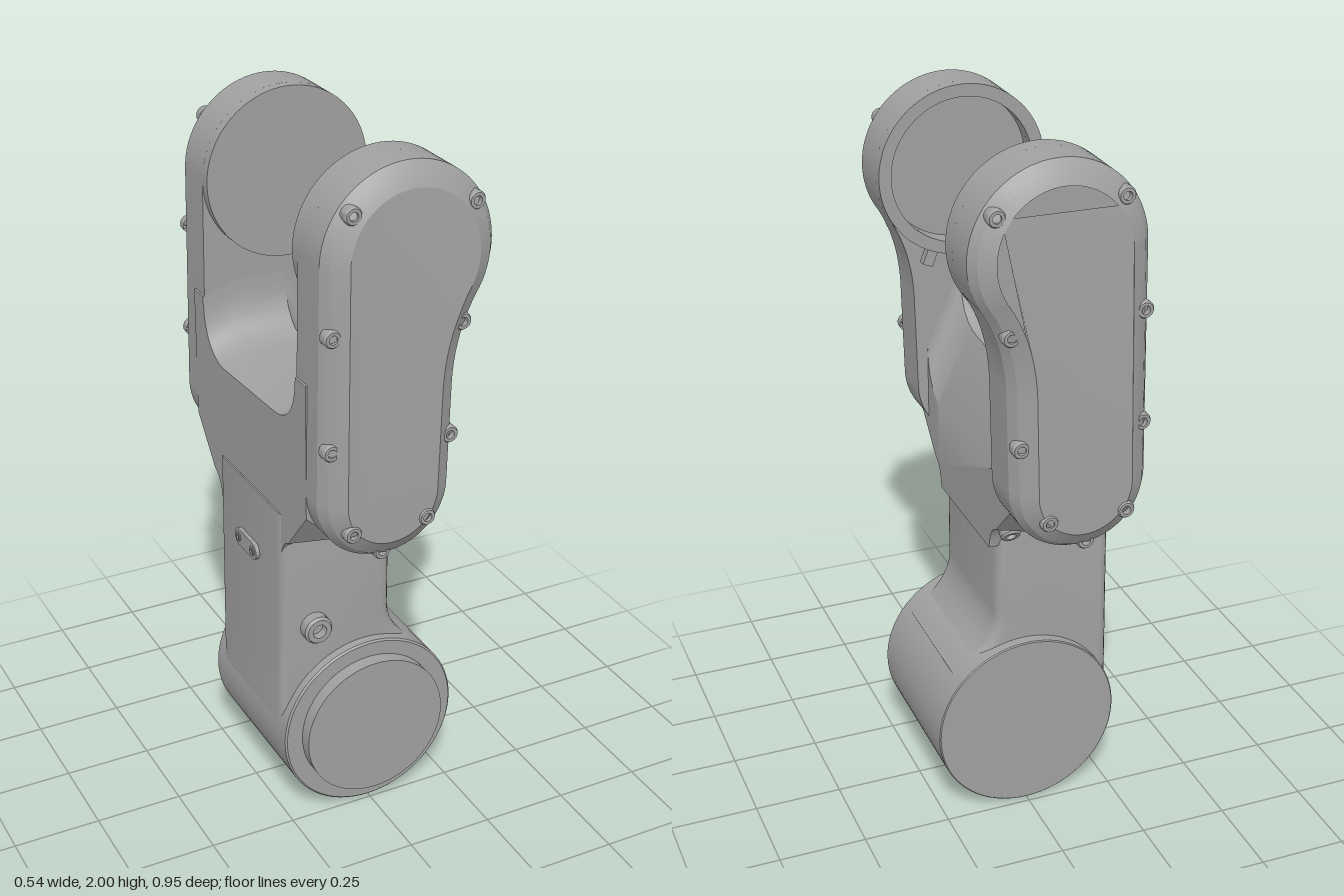
import * as THREE from 'three';
import { toCreasedNormals, mergeVertices } from 'three/addons/utils/BufferGeometryUtils.js';

const metal = new THREE.MeshStandardMaterial({ color: 0xa0a0a0, side: THREE.DoubleSide });
metal.name = 'grey metal';

const HEAD = { x: 0, y: 1.76, r: 0.24, bore: 0.205 };

function part(name, geometry, parent, crease = 0.5) {
  const mesh = new THREE.Mesh(toCreasedNormals(geometry, crease), metal);
  mesh.name = name;
  parent.add(mesh);
  return mesh;
}

// Cylinder along z between two depths
function disc(name, parent, r, x, y, z0, z1, rFar = r, sides = 64) {
  const g = new THREE.CylinderGeometry(rFar, r, z1 - z0, sides).rotateX(Math.PI / 2);
  return part(name, g.translate(x, y, (z0 + z1) / 2), parent);
}

// Socket-head screw: short ring with a recessed floor, facing +z
function screw(parent, x, y, z, r = 0.024, h = 0.03) {
  const p = [[r, 0], [r, h * 0.8], [r * 0.85, h], [r * 0.5, h], [r * 0.5, h * 0.4], [0, h * 0.4]];
  const g = new THREE.LatheGeometry(p.map(([a, b]) => new THREE.Vector2(a, b)), 20).rotateX(Math.PI / 2);
  const m = part('screw', g, parent);
  m.position.set(x, y, z);
  return m;
}

// Outline of one fork arm: round head on top, narrower round foot
function armOutline() {
  const s = new THREE.Shape();
  s.moveTo(-0.25, 1.125);
  s.absarc(-0.06, 1.125, 0.19, Math.PI, Math.PI * 2, false);
  s.lineTo(0.137, 1.4);
  s.quadraticCurveTo(0.142, 1.53, 0.197, 1.623);
  s.absarc(HEAD.x, HEAD.y, HEAD.r, -0.61, Math.PI, false);
  const pts = s.getPoints(24);
  return pts.filter((p, i) => p.distanceTo(pts[(i + 1) % pts.length]) > 1e-4);
}

function inset(pts, d) {
  return pts.map((p, i) => {
    const a = pts[(i + pts.length - 1) % pts.length], b = pts[(i + 1) % pts.length];
    const t = b.clone().sub(a).normalize();
    return new THREE.Vector2(p.x - t.y * d, p.y + t.x * d);
  });
}

// The outer face leans inwards towards the head
const lean = (y, z) => (z > 0.4 ? z - 0.03 * Math.max(0, (y - 1.6) / 0.4) * ((z - 0.4) / 0.07) : z);

function loft(rings) {
  const pos = [], idx = [], n = rings[0].pts.length;
  rings.forEach(({ pts, z }) => pts.forEach(p => pos.push(p.x, p.y, lean(p.y, z))));
  for (let k = 0; k < rings.length - 1; k++) {
    for (let i = 0; i < n; i++) {
      const a = k * n + i, b = k * n + (i + 1) % n;
      idx.push(a, b, b + n, a, b + n, a + n);
    }
  }
  const g = new THREE.BufferGeometry();
  g.setAttribute('position', new THREE.Float32BufferAttribute(pos, 3));
  g.setIndex(idx);
  return g;
}

function flatFace(pts, z, hole) {
  const s = new THREE.Shape(pts);
  if (hole) s.holes.push(hole);
  const g = new THREE.ShapeGeometry(s, 48);
  const p = g.attributes.position;
  for (let i = 0; i < p.count; i++) p.setZ(i, lean(p.getY(i), z));
  return g;
}

function forkArm(name, isFront) {
  const arm = new THREE.Group();
  arm.name = name;
  const outline = armOutline();
  const layers = [[0, 0.29], [0, 0.41], [0.018, 0.44], [0.06, 0.47]];
  part('armShell', loft(layers.map(([d, z]) => ({ pts: inset(outline, d), z }))), arm, 0.35);

  // Outer cover; the back one leaves the rim of the head open
  let cover = inset(outline, 0.06);
  if (!isFront) cover = cover.filter(p => p.y < 1.88 && !(p.x > 0.1 && p.y > 1.58 && p.y < 1.84));
  part('armCover', flatFace(cover, 0.47), arm);

  // Inner wall with the bearing bore
  const bore = new THREE.Path().absarc(HEAD.x, HEAD.y, HEAD.bore, 0, Math.PI * 2, true);
  const inner = flatFace(outline, 0.29, bore);
  part('innerWall', inner, arm);
  if (isFront) {
    const ring = new THREE.Shape().absarc(HEAD.x, HEAD.y, HEAD.r, 0, Math.PI * 2, false);
    ring.holes.push(bore);
    const g = new THREE.ExtrudeGeometry(ring, { depth: 0.07, bevelEnabled: false, curveSegments: 40 });
    part('bearingRing', g.translate(0, 0, 0.26), arm);
    disc('bearingFloor', arm, 0.208, HEAD.x, HEAD.y, 0.32, 0.33);
    // Two small tabs below the ring
    for (const a of [-1.95, -1.2]) {
      const tab = part('ringTab', new THREE.BoxGeometry(0.03, 0.06, 0.03), arm);
      tab.position.set(HEAD.r * 1.06 * Math.cos(a), HEAD.y + HEAD.r * 1.06 * Math.sin(a), 0.282);
      tab.rotation.z = a + Math.PI / 2;
    }
    const boss = screw(arm, -0.19, 1.44, 0.295, 0.04, 0.045);
    boss.rotation.y = Math.PI;
  } else {
    disc('bearingPlate', arm, HEAD.r, HEAD.x, HEAD.y, 0.26, 0.31);
  }

  // Cover screws around the chamfer
  const spots = [[-0.165, 1.895, 0.415], [0.175, 1.88, 0.415], [0.14, 1.57, 0.425], [0.112, 1.26, 0.425],
    [0.04, 1.045, 0.445], [-0.175, 1.045, 0.445], [-0.075, 0.957, 0.415], [-0.225, 1.28, 0.42], [-0.222, 1.59, 0.42]];
  for (const [x, y, z] of spots) screw(arm, x, y, z);

  if (!isFront) arm.scale.z = -1;
  return arm;
}

// U-shaped bridge between the arms, sloping down towards +x
function bridge(parent) {
  const s = new THREE.Shape();
  s.moveTo(-0.19, 0.84);
  s.lineTo(0.19, 0.84);
  s.quadraticCurveTo(0.2, 0.91, 0.24, 0.92);
  s.lineTo(0.35, 0.95);
  s.lineTo(0.35, 1.46);
  s.lineTo(0.29, 1.46);
  s.quadraticCurveTo(0.285, 1.31, 0.17, 1.295);
  s.lineTo(-0.17, 1.31);
  s.quadraticCurveTo(-0.285, 1.32, -0.29, 1.46);
  s.lineTo(-0.35, 1.46);
  s.lineTo(-0.35, 0.95);
  s.lineTo(-0.24, 0.92);
  s.quadraticCurveTo(-0.2, 0.91, -0.19, 0.84);
  const g = new THREE.ExtrudeGeometry(s, { depth: 3, steps: 3, bevelEnabled: false, curveSegments: 10 });
  g.rotateY(Math.PI / 2);
  const xs = [-0.25, -0.16, 0, 0.1];
  const p = g.attributes.position;
  for (let i = 0; i < p.count; i++) {
    const k = Math.round(p.getX(i)), y = p.getY(i), z = Math.abs(p.getZ(i));
    p.setX(i, xs[k]);
    if (y > 1.2) p.setY(i, y - [0.03, 0, 0, 0.22][k]);
    // Round off the foot where it meets the arms
    if (y > 0.9 && y < 1 && z > 0.3) p.setY(i, y + [0.1, 0.02, 0, 0.08][k]);
  }
  part('bridge', g, parent, 0.45);
}

// Upright neck, flush with the barrel on -x and flared into it on +x
function neck(parent) {
  const b = 0.03;
  const s = new THREE.Shape();
  s.moveTo(-0.262 + b, 0.27);
  s.lineTo(0.15, 0.27);
  s.lineTo(0.17, 0.43);
  s.quadraticCurveTo(0.05, 0.52, 0.08 - b, 0.62);
  s.lineTo(0.08 - b, 0.96);
  s.lineTo(-0.255 + b, 0.96);
  const g = new THREE.ExtrudeGeometry(s, {
    depth: 0.41 - 2 * b, bevelEnabled: true, bevelSize: b, bevelThickness: b, bevelSegments: 4, curveSegments: 12,
  });
  part('neck', mergeVertices(g.translate(0, 0, -0.2 + b)), parent, 0.6);
  // Flare blending the neck into the barrel
  const f = new THREE.CylinderGeometry(0.12, 0.17, 0.08, 4, 1, true, Math.PI / 4);
  f.rotateY(0).scale(1.35, 1, 1.95).translate(-0.085, 0.55, 0.005);
  f.dispose();
}

export function createModel() {
  const model = new THREE.Group();
  model.name = 'robotArmLink';

  // Lower joint barrel with raised front plate
  const profile = [[0, -0.232], [0.262, -0.232], [0.265, -0.229], [0.265, 0.235], [0.26, 0.24], [0, 0.24]];
  const barrel = new THREE.LatheGeometry(profile.map(([r, z]) => new THREE.Vector2(r, z)), 72);
  part('barrel', barrel.rotateX(Math.PI / 2).translate(0, 0.27, 0), model);
  disc('frontPlate', model, 0.213, 0, 0.275, 0.235, 0.28);

  neck(model);
  bridge(model);
  model.add(forkArm('frontArm', true), forkArm('backArm', false));

  // Boss on the front of the neck
  screw(model, -0.16, 0.62, 0.205, 0.042, 0.042);

  // Screws under the back of the bridge
  for (const x of [-0.19, 0.05]) {
    const m = screw(model, x, 0.9, -0.205, 0.028, 0.03);
    m.rotation.x = Math.PI * 0.8;
  }

  // Slotted plate on the -x side of the neck
  const slot = new THREE.Shape();
  slot.absarc(0.045, 0, 0.025, -Math.PI / 2, Math.PI / 2, false);
  slot.absarc(-0.045, 0, 0.025, Math.PI / 2, Math.PI * 1.5, false);
  const plate = new THREE.ExtrudeGeometry(slot, { depth: 0.015, bevelEnabled: false });
  part('sidePlate', plate.rotateY(-Math.PI / 2).translate(-0.253, 0.8, 0), model);
  for (const z of [-0.045, 0.045]) {
    const m = screw(model, -0.262, 0.8, z, 0.014, 0.01);
    m.rotation.y = -Math.PI / 2;
  }
  return model;
}
